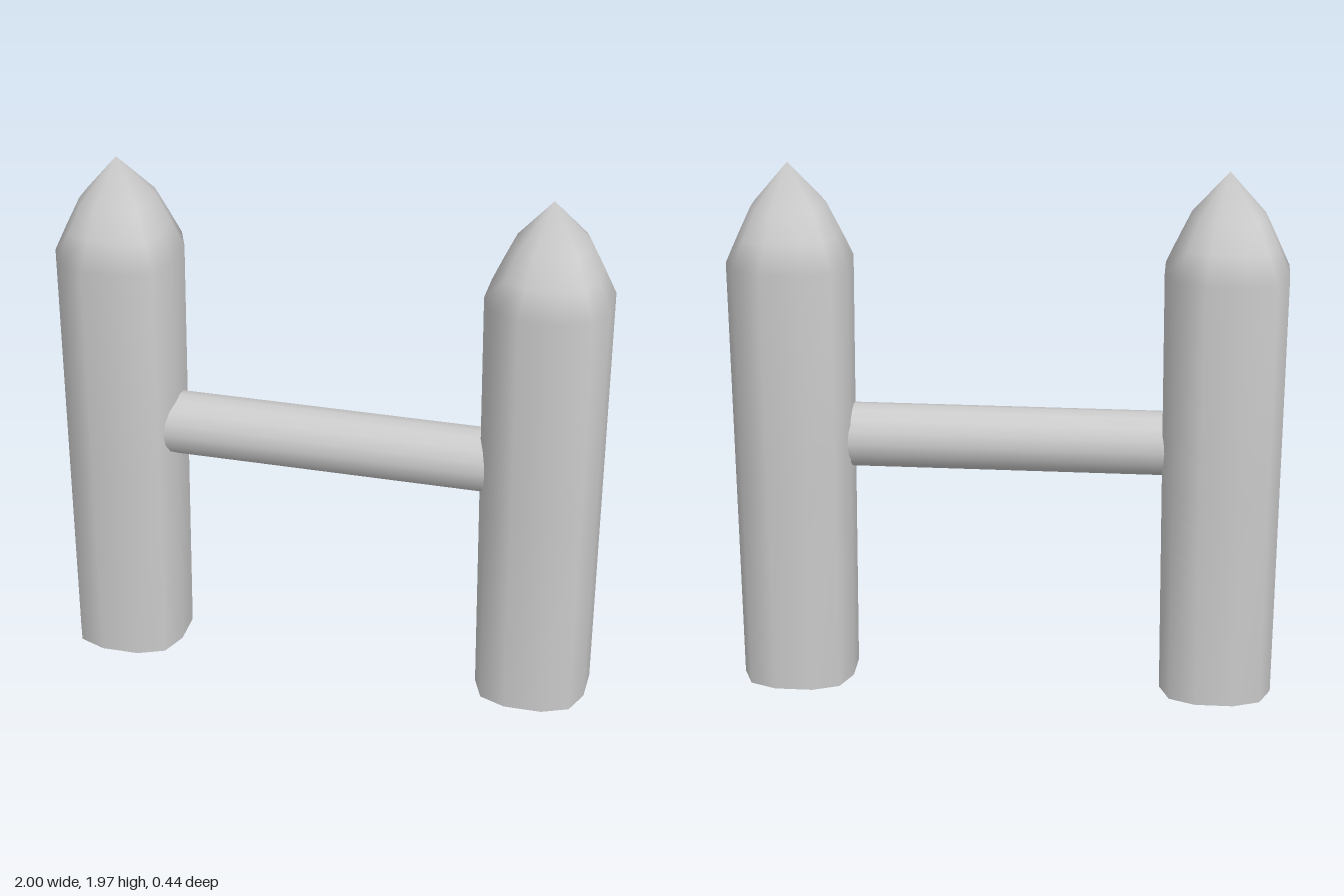
import * as THREE from 'three';

const material = new THREE.MeshStandardMaterial({ color: 0xcccccc });

// Twelve-sided outline of a post: a softly rounded square, listed as [x, z]
const quarter = [[0.219, 0.072], [0.177, 0.178], [0.074, 0.222]];
const outline = [
  ...quarter,
  ...quarter.map(([x, z]) => [-x, z]).reverse(),
  ...quarter.map(([x, z]) => [-x, -z]),
  ...quarter.map(([x, z]) => [x, -z]).reverse(),
];

// Height and outline scale of each ring, from the foot to the pointed tip
const rings = [[0, 0.94], [0.8, 0.97], [1.61, 1], [1.71, 0.8], [1.81, 0.59]];
const TIP = 1.965;

// Smooth tapered shaft with its pointed top
function shaftGeometry() {
  const n = outline.length;
  const positions = [];
  const index = [];
  for (const [y, s] of rings) {
    for (const [x, z] of outline) positions.push(x * s, y, z * s);
  }
  const apex = positions.length / 3;
  positions.push(0, TIP, 0);
  for (let r = 0; r < rings.length; r++) {
    for (let i = 0; i < n; i++) {
      const a = r * n + i;
      const b = r * n + (i + 1) % n;
      if (r === rings.length - 1) index.push(a, apex, b);
      else index.push(a, a + n, b, b, a + n, b + n);
    }
  }
  const geometry = new THREE.BufferGeometry();
  geometry.setAttribute('position', new THREE.Float32BufferAttribute(positions, 3));
  geometry.setIndex(index);
  geometry.computeVertexNormals();
  return geometry;
}

// Flat underside of a post, with its own sharp normals
function footGeometry() {
  const s = rings[0][1];
  const shape = new THREE.Shape(outline.map(([x, z]) => new THREE.Vector2(x * s, z * s)));
  return new THREE.ShapeGeometry(shape).rotateX(Math.PI / 2);
}

function addMesh(parent, name, geometry) {
  const mesh = new THREE.Mesh(geometry, material);
  mesh.name = name;
  parent.add(mesh);
  return mesh;
}

export function createModel() {
  const model = new THREE.Group();
  model.name = 'postsWithRail';

  // Two matching posts
  const shaft = shaftGeometry();
  const foot = footGeometry();
  for (const [name, x] of [['leftPost', 0.78], ['rightPost', -0.78]]) {
    const post = new THREE.Group();
    post.name = name;
    addMesh(post, 'shaft', shaft);
    addMesh(post, 'foot', foot);
    post.position.x = x;
    model.add(post);
  }

  // Round rail let into both posts, slightly forward of centre
  const rail = addMesh(model, 'crossRail', new THREE.CylinderGeometry(0.117, 0.117, 1.3, 16).rotateZ(Math.PI / 2));
  rail.position.set(0, 0.937, 0.026);

  return model;
}
